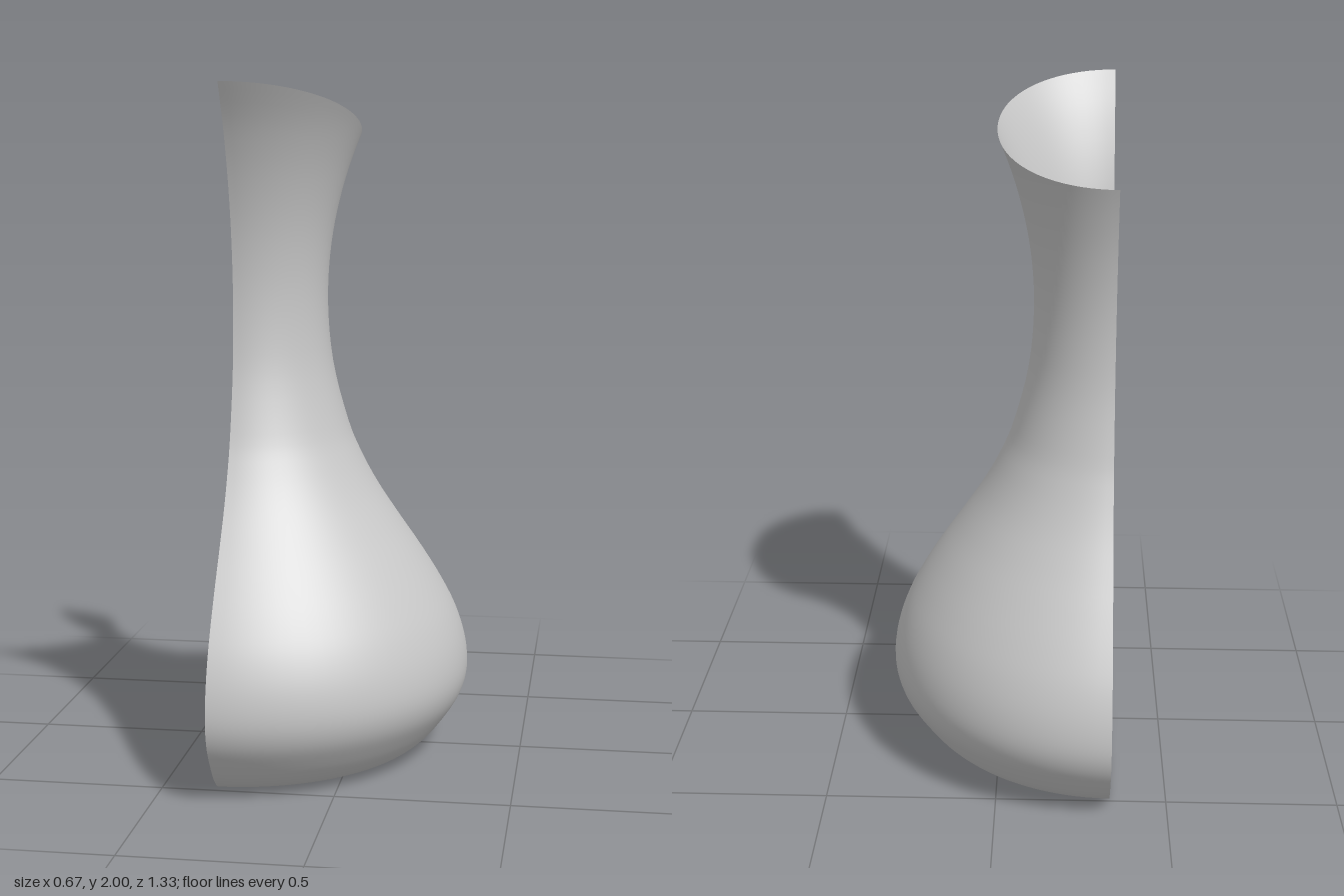
import * as THREE from 'three';

const AXIS_X = -0.333; // the cut face of the half vessel
const NECK_Y = 1.3; // rows above this follow the slanted lip

// Radius and height of the wall, from base to lip
const profile = new THREE.SplineCurve([
  [0.45, 0], [0.515, 0.018], [0.565, 0.055], [0.61, 0.11], [0.65, 0.175],
  [0.666, 0.245], [0.657, 0.33], [0.627, 0.42], [0.58, 0.51], [0.52, 0.605],
  [0.455, 0.7], [0.39, 0.8], [0.337, 0.9], [0.297, 1.0], [0.252, 1.18],
  [0.237, 1.37], [0.25, 1.55], [0.288, 1.72], [0.345, 1.875], [0.41, 2],
].map(([r, y]) => new THREE.Vector2(r, y)));
const fine = profile.getPoints(600);

function radiusAt(y) {
  const i = Math.max(1, fine.findIndex((p) => p.y >= y - 1e-6));
  const a = fine[i - 1], b = fine[i];
  return THREE.MathUtils.lerp(a.x, b.x, (y - a.y) / (b.y - a.y));
}

// Lip height falls from the pouring front to the back
function lipHeight(c) {
  return 1.87 + 0.11 * c + 0.02 * c * c;
}

export function createModel() {
  const model = new THREE.Group();
  model.name = 'halfCarafe';
  const grey = new THREE.MeshStandardMaterial({ color: 0xc8c8c8, side: THREE.DoubleSide });
  grey.name = 'grey';

  // Wall: half lathe whose neck rows are compressed to the slanted lip
  const wallGeometry = new THREE.LatheGeometry(profile.getPoints(76), 48, 0, Math.PI);
  const pos = wallGeometry.attributes.position;
  for (let i = 0; i < pos.count; i++) {
    const y = pos.getY(i);
    if (y <= NECK_Y) continue;
    const angle = Math.atan2(pos.getX(i), pos.getZ(i));
    const k = (lipHeight(Math.cos(angle)) - NECK_Y) / (2 - NECK_Y);
    const newY = NECK_Y + (y - NECK_Y) * k;
    const r = radiusAt(newY);
    pos.setXYZ(i, r * Math.sin(angle), newY, r * Math.cos(angle));
  }
  wallGeometry.computeVertexNormals();
  const wall = new THREE.Mesh(wallGeometry, grey);
  wall.name = 'wall';

  // Flat half-round base
  const baseGeometry = new THREE.CircleGeometry(0.45, 48, -Math.PI / 2, Math.PI);
  baseGeometry.rotateX(-Math.PI / 2);
  const base = new THREE.Mesh(baseGeometry, grey);
  base.name = 'base';

  for (const part of [wall, base]) {
    part.position.x = AXIS_X;
    model.add(part);
  }
  return model;
}
